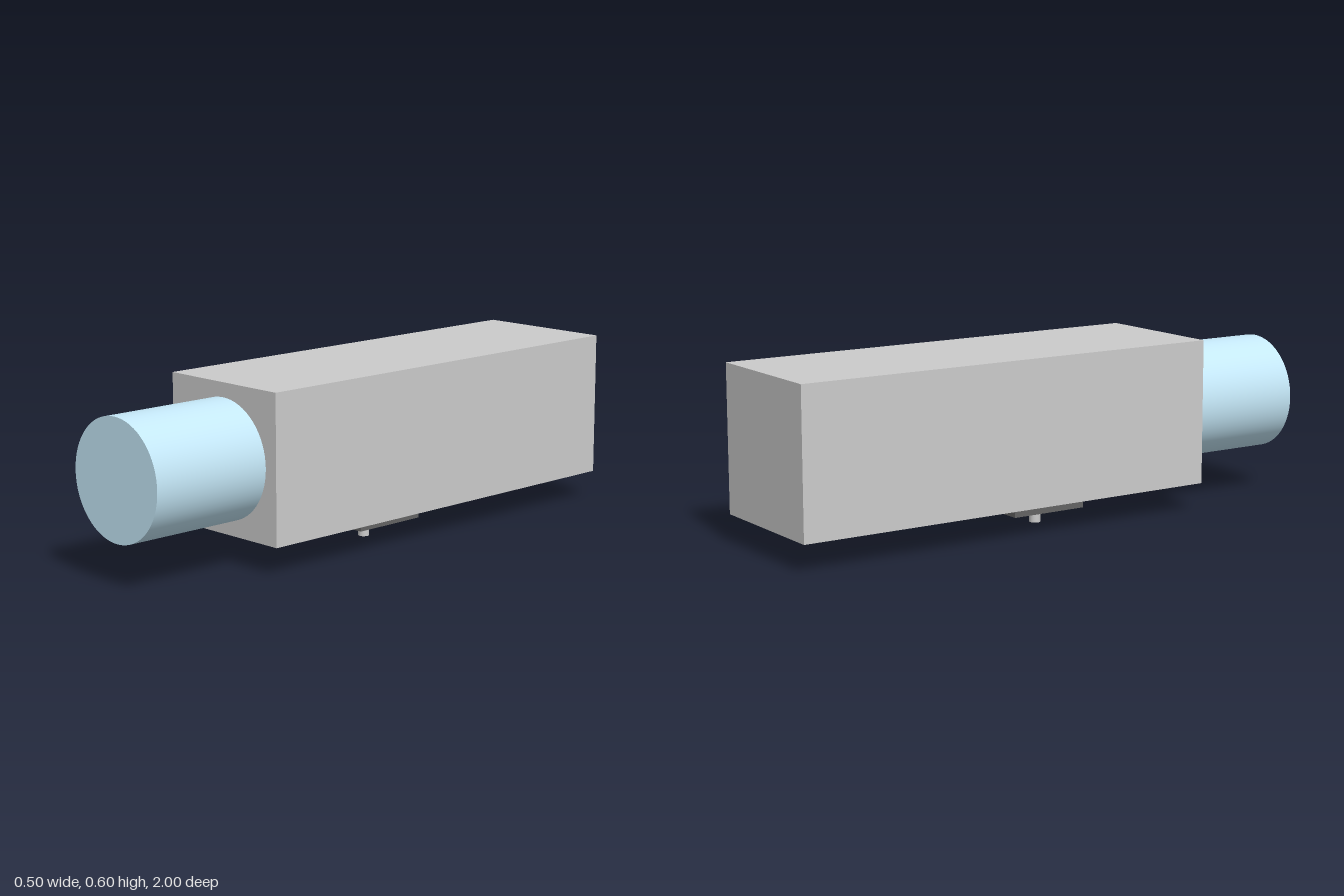
import * as THREE from 'three';

const material = (color) => new THREE.MeshStandardMaterial({ color });

export function createModel() {
  const model = new THREE.Group();
  const grey = material(0xcccccc);

  const add = (name, geometry, mat, x, y, z) => {
    const mesh = new THREE.Mesh(geometry, mat);
    mesh.name = name;
    mesh.position.set(x, y, z);
    model.add(mesh);
    return mesh;
  };

  // Long square housing
  add('housing', new THREE.BoxGeometry(0.5, 0.5, 1.56), grey, 0, 0.346, -0.22);

  // Lens barrel, closed at both ends, out of the front of the housing
  const barrel = new THREE.CylinderGeometry(0.202, 0.202, 0.44, 64).rotateX(Math.PI / 2);
  add('lensBarrel', barrel, material(0xc5e8f8), 0, 0.345, 0.78);

  // Dark mounting plate, just clear of the underside
  add('mountingPlate', new THREE.BoxGeometry(0.344, 0.039, 0.276), material(0x636363), 0, 0.0735, -0.028);

  // Pair of mounting pins below the plate
  const pin = new THREE.CylinderGeometry(0.019, 0.019, 0.054, 24);
  for (const [name, side] of [['leftPin', 1], ['rightPin', -1]]) {
    add(name, pin, grey, side * 0.062, 0.027, -0.011);
  }

  return model;
}
